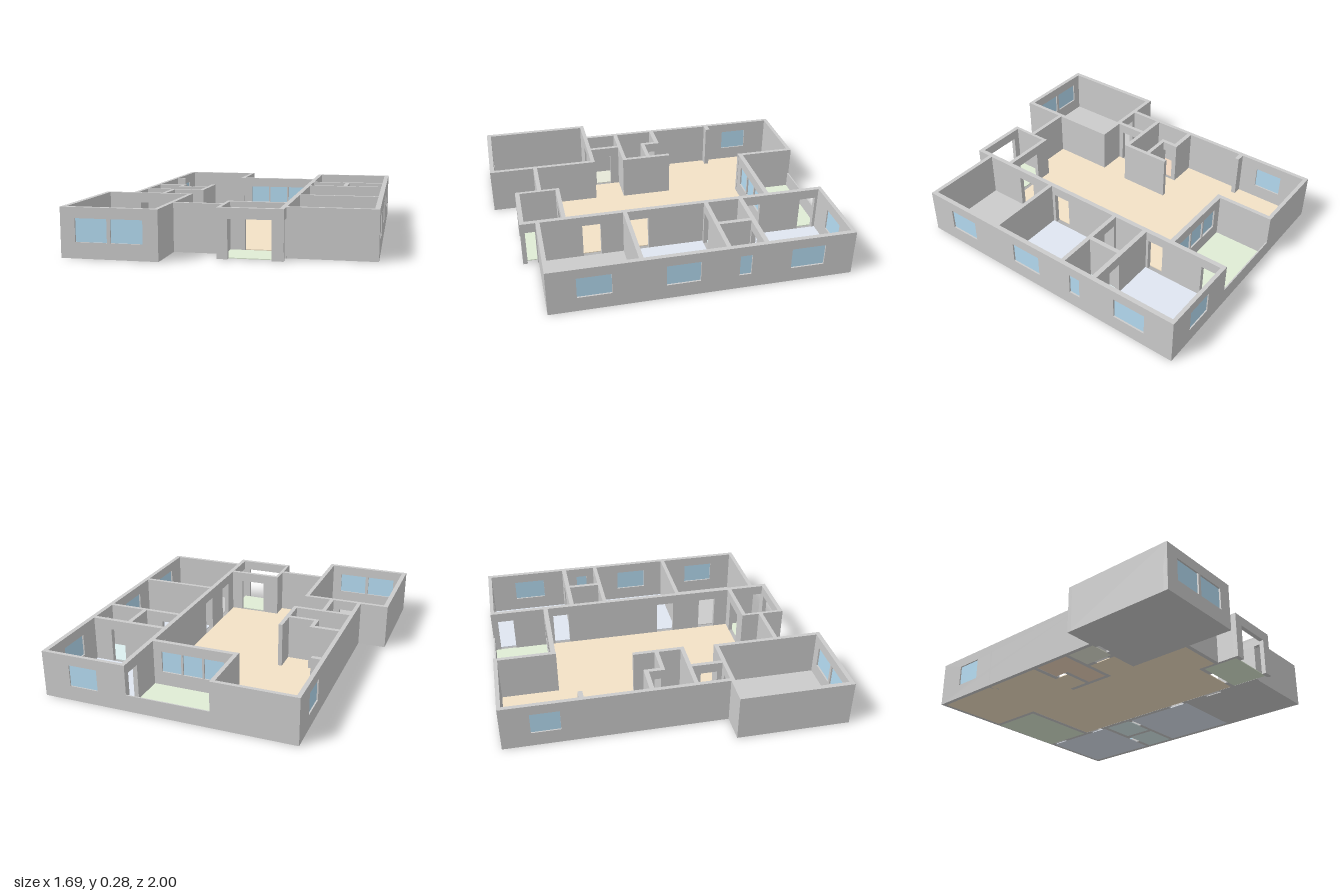
import * as THREE from 'three';

const WALL_H = 0.28, HEAD = 0.22, SILL = 0.09, FLOOR_T = 0.005;

export function createModel() {
  const house = new THREE.Group();
  house.name = 'floorPlan';
  const mat = (color) => new THREE.MeshStandardMaterial({ color });
  const wallMat = mat(0xcccccc);
  const glassMat = mat(0xb5dcf2);

  const add = (name, geometry, material) => {
    const mesh = new THREE.Mesh(geometry, material);
    mesh.name = name;
    house.add(mesh);
    return mesh;
  };

  // A wall running along one axis: lo..hi is its thickness, a..b its length.
  // Doors notch the bottom edge; windows are holes with a thin pane.
  function wall(name, axis, lo, hi, a, b, { doors = [], windows = [], height = WALL_H } = {}) {
    const place = (geometry, near, far) =>
      axis === 'x' ? geometry.translate(0, 0, near) : geometry.rotateY(-Math.PI / 2).translate(far, 0, 0);
    const shape = new THREE.Shape();
    shape.moveTo(a, 0);
    for (const [d0, d1] of doors) {
      shape.lineTo(d0, 0);
      shape.lineTo(d0, HEAD);
      shape.lineTo(d1, HEAD);
      shape.lineTo(d1, 0);
    }
    shape.lineTo(b, 0);
    shape.lineTo(b, height);
    shape.lineTo(a, height);
    shape.closePath();
    const mid = (lo + hi) / 2;
    for (const [w0, w1] of windows) {
      const hole = new THREE.Path();
      hole.moveTo(w0, SILL);
      hole.lineTo(w0, HEAD);
      hole.lineTo(w1, HEAD);
      hole.lineTo(w1, SILL);
      hole.closePath();
      shape.holes.push(hole);
      const pane = new THREE.BoxGeometry(w1 - w0, HEAD - SILL, 0.008);
      pane.translate((w0 + w1) / 2, (SILL + HEAD) / 2, 0);
      add(name + 'Glass', place(pane, mid, mid), glassMat);
    }
    const body = new THREE.ExtrudeGeometry(shape, { depth: hi - lo, bevelEnabled: false });
    add(name, place(body, lo, hi), wallMat);
  }

  // A thin floor slab from a list of [x, z] corners
  function floor(name, color, corners) {
    const shape = new THREE.Shape(corners.map(([x, z]) => new THREE.Vector2(x, -z)));
    const geometry = new THREE.ExtrudeGeometry(shape, { depth: FLOOR_T, bevelEnabled: false });
    add(name, geometry.rotateX(-Math.PI / 2), mat(color));
  }
  const rect = (x0, x1, z0, z1) => [[x0, z0], [x0, z1], [x1, z1], [x1, z0]];

  // Floors
  floor('livingFloor', 0xf3e2c6, [
    [-0.645, -0.98], [-0.645, -0.15], [-0.465, -0.15], [-0.465, -0.05], [-0.305, -0.05],
    [-0.305, -0.18], [-0.28, -0.18], [-0.28, 0.135], [-0.465, 0.135], [-0.465, 0.32],
    [-0.295, 0.32], [-0.295, 0.7], [-0.015, 0.7], [-0.015, 0.59], [0.32, 0.59],
    [0.32, -0.63], [-0.2, -0.63], [-0.2, -0.98],
  ]);
  floor('pantryFloor', 0xf0d6be, [
    [-0.645, -0.12], [-0.645, 0.11], [-0.305, 0.11], [-0.305, -0.025], [-0.49, -0.025], [-0.49, -0.12],
  ]);
  floor('laundryFloor', 0xe6e8d8, rect(-0.645, -0.49, 0.135, 0.32));
  floor('garageFloor', 0xcccccc, rect(-0.815, -0.32, 0.345, 0.975));
  floor('patioFloor', 0xdfecd5, rect(-0.175, 0.325, -0.995, -0.66));
  floor('porchFloor', 0xdfecd5, rect(0.005, 0.32, 0.615, 0.835));
  floor('backBedroomFloor', 0xdfe6f1, rect(0.35, 0.815, -0.98, -0.485));
  floor('frontBedroomFloor', 0xdfe6f1, rect(0.35, 0.815, -0.24, 0.23));
  floor('innerBathFloor', 0xdcefef, rect(0.35, 0.567, -0.457, -0.265));
  floor('outerBathFloor', 0xdcefef, rect(0.594, 0.815, -0.457, -0.265));
  floor('studyFloor', 0xcccccc, rect(0.35, 0.815, 0.255, 0.745));

  // Living area shell
  wall('livingLeftWall', 'z', -0.67, -0.645, -1, 0.345, { windows: [[-0.83, -0.66]] });
  wall('livingBackWall', 'x', -1, -0.977, -0.67, -0.175);
  wall('livingFrontWall', 'x', 0.7, 0.725, -0.3, 0.005);
  wall('livingStubWall', 'x', -0.55, -0.522, -0.67, -0.59);

  // Patio
  wall('patioSideWall', 'z', -0.2, -0.175, -1, -0.63);
  wall('patioWindowWall', 'x', -0.66, -0.632, -0.2, 0.35, {
    windows: [[-0.12, 0.003], [0.015, 0.135], [0.147, 0.27]],
  });
  wall('patioRail', 'x', -1, -0.992, -0.18, 0.33, { height: 0.1 });

  // Bedroom wing
  wall('wingInnerWall', 'z', 0.322, 0.35, -1, 0.86, {
    doors: [[-0.96, -0.86], [-0.6, -0.5], [0.1, 0.21], [0.39, 0.5], [0.775, 0.84]],
  });
  wall('wingOuterWall', 'z', 0.815, 0.843, -1, 0.77, {
    windows: [[-0.82, -0.62], [-0.385, -0.315], [-0.09, 0.105], [0.41, 0.605]],
  });
  wall('wingBackWall', 'x', -1, -0.977, 0.322, 0.843, { windows: [[0.5, 0.675]] });
  wall('wingFrontWall', 'x', 0.745, 0.77, 0.335, 0.843);
  wall('bathBackWall', 'x', -0.485, -0.457, 0.335, 0.83, { doors: [[0.61, 0.7]] });
  wall('bathFrontWall', 'x', -0.265, -0.24, 0.335, 0.83, { doors: [[0.37, 0.46]] });
  wall('bathDivider', 'z', 0.567, 0.594, -0.47, -0.25);
  wall('studyWall', 'x', 0.23, 0.255, 0.335, 0.83);

  // Entrance porch
  wall('entranceWall', 'x', 0.59, 0.615, -0.015, 0.335, { doors: [[0.09, 0.25]] });
  wall('porchLeftWall', 'z', -0.015, 0.005, 0.59, 0.86);
  wall('porchFrontArch', 'x', 0.835, 0.862, -0.015, 0.347, { doors: [[0.045, 0.285]] });

  // Pantry and laundry
  wall('pantryBackWall', 'x', -0.15, -0.122, -0.67, -0.465);
  wall('pantryDoorWall', 'z', -0.49, -0.465, -0.15, -0.025, { doors: [[-0.12, -0.05]] });
  wall('pantryStepWall', 'x', -0.05, -0.025, -0.49, -0.28);
  wall('pantrySideWall', 'z', -0.305, -0.28, -0.18, 0.135);
  wall('pantryFrontWall', 'x', 0.11, 0.135, -0.67, -0.28);
  wall('laundrySideWall', 'z', -0.49, -0.465, 0.11, 0.345, { doors: [[0.19, 0.29]] });

  // Garage
  wall('garageBackWall', 'x', 0.32, 0.345, -0.843, -0.295, { doors: [[-0.62, -0.53]] });
  wall('garageLeftWall', 'z', -0.843, -0.815, 0.32, 1);
  wall('garageRightWall', 'z', -0.32, -0.295, 0.32, 1);
  wall('garageFrontWall', 'x', 0.973, 1, -0.843, -0.295, { windows: [[-0.76, -0.58], [-0.56, -0.38]] });

  return house;
}
